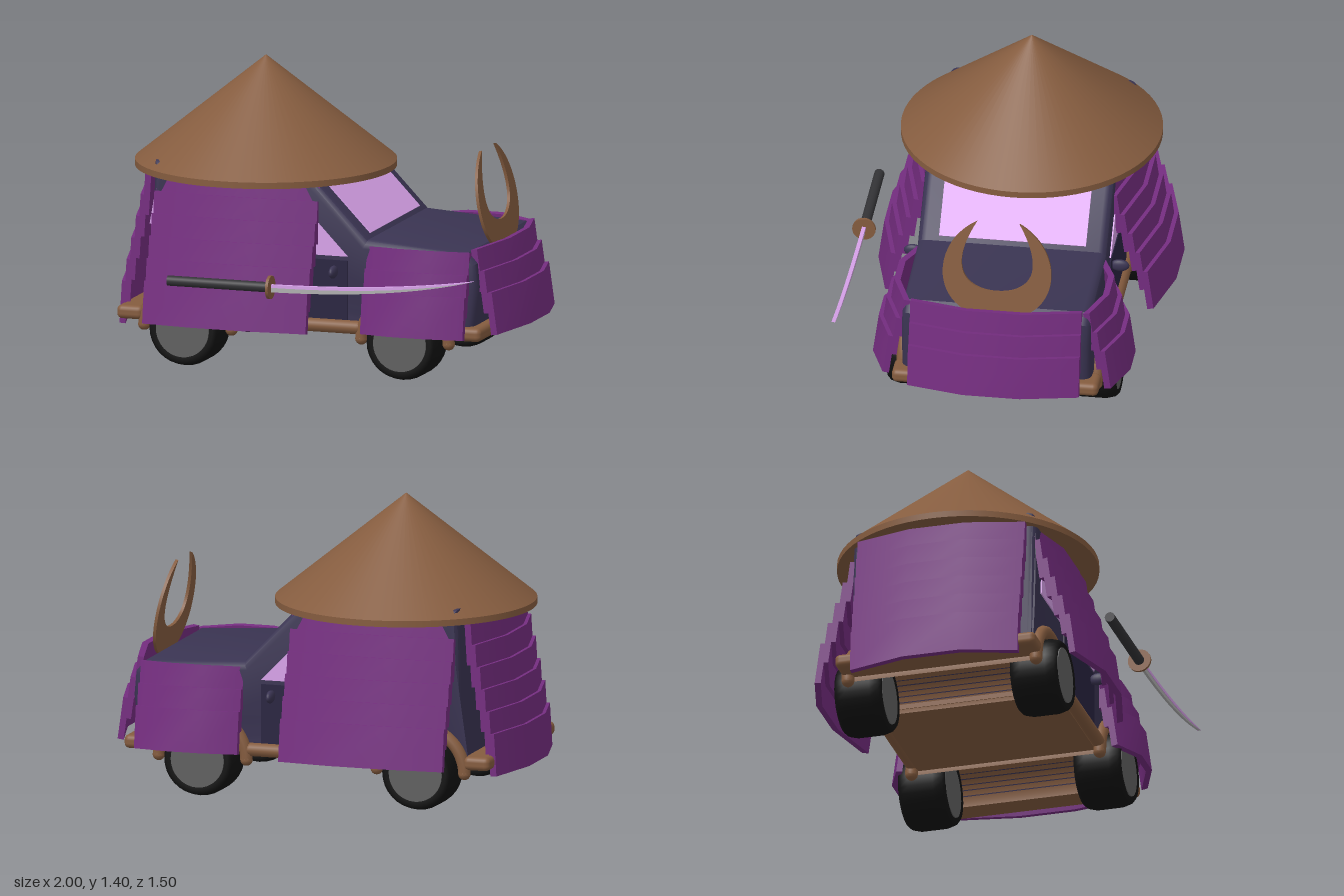
import * as THREE from 'three';
import { toCreasedNormals } from 'three/addons/utils/BufferGeometryUtils.js';
import { RoundedBoxGeometry } from 'three/addons/geometries/RoundedBoxGeometry.js';

const mat = (color, side = THREE.FrontSide) => new THREE.MeshStandardMaterial({ color, side });
const BROWN = mat(0x855c3f), BROWN_OPEN = mat(0x855c3f, THREE.DoubleSide), NAVY = mat(0x3a3452);
const DOOR = mat(0x292440), PURPLE = mat(0x752d80), GLASS = mat(0xd8a2ea), TYRE = mat(0x121212);
const RIM = mat(0x606060), GRIP = mat(0x333336), STEEL = mat(0xb0b0b0);

const AXLES = [-0.575, 0.495];
const HALF = 0.445; // half width of the body

function add(parent, name, geometry, material, x = 0, y = 0, z = 0) {
  const mesh = new THREE.Mesh(geometry, material);
  mesh.name = name;
  mesh.position.set(x, y, z);
  parent.add(mesh);
  return mesh;
}

const polygon = (pts) => new THREE.Shape(pts.map(([x, y]) => new THREE.Vector2(x, y)));

// Extrusion centred on z = 0
function slab(shape, depth, bevel = 0, curveSegments = 16) {
  const g = new THREE.ExtrudeGeometry(shape, {
    depth: depth - 2 * bevel, curveSegments, bevelEnabled: bevel > 0, bevelSize: bevel,
    bevelThickness: bevel, bevelOffset: -bevel, bevelSegments: 3,
  });
  g.translate(0, 0, -depth / 2 + bevel);
  return toCreasedNormals(g, 0.6);
}

// Overlapping rows of bowed plates; local +z points away from the body
function skirt(parent, name, { width, rows, bottom, step, out, inset, tilt, angle, x = 0 }) {
  const group = new THREE.Group();
  group.name = name;
  const plate = new THREE.BoxGeometry(width, 0.2, 0.03, 3, 1, 1);
  const p = plate.attributes.position;
  for (let i = 0; i < p.count; i++) {
    if (Math.abs(p.getX(i)) < width / 4) p.setZ(i, p.getZ(i) + 0.07);
  }
  plate.translate(0, 0.1, -0.085);
  plate.computeVertexNormals();
  for (let i = 0; i < rows; i++) {
    const row = add(group, `${name}Row${i + 1}`, plate, PURPLE, 0, bottom + i * step, out - i * inset);
    row.rotation.x = -tilt;
  }
  group.rotation.y = angle;
  group.position.x = x;
  parent.add(group);
}

function buildBody(car) {
  // Side profile with wheel arches cut out
  const s = new THREE.Shape();
  s.moveTo(-0.88, 0.22);
  for (const x of AXLES) s.absarc(x, 0.18, 0.2, Math.PI - 0.2, 0.2, true);
  for (const [x, y] of [[0.82, 0.22], [0.845, 0.45], [0.835, 0.56], [0.79, 0.61], [0.3, 0.64],
    [0, 0.95], [-0.75, 0.95]]) s.lineTo(x, y);
  add(car, 'body', slab(s, HALF * 2, 0.04), NAVY);

  // Glass
  const shield = add(car, 'windshield', new THREE.BoxGeometry(0.37, 0.012, 0.69), GLASS, 0.155, 0.79, 0);
  shield.rotation.z = -Math.atan2(0.31, 0.3);
  const rear = add(car, 'rearWindow', new THREE.BoxGeometry(0.012, 0.26, 0.6), GLASS, -0.79, 0.75, 0);
  rear.rotation.z = -Math.atan2(0.13, 0.73);
  const pane = slab(polygon([[-0.68, 0.56], [0.21, 0.56], [-0.08, 0.86], [-0.66, 0.86]]), 0.012);
  const panel = slab(polygon([[-0.3, 0.26], [0.21, 0.26], [0.21, 0.54], [-0.3, 0.54]]), 0.012);
  for (const s of [1, -1]) {
    add(car, 'sideWindow', pane, GLASS, 0, 0, s * HALF);
    add(car, 'doorPanel', panel, DOOR, 0, 0, s * HALF);
    const mirror = add(car, 'sideMirror', new THREE.SphereGeometry(1, 16, 12), NAVY, 0.152, 0.49, s * 0.485);
    mirror.scale.set(0.018, 0.03, 0.045);
  }
}

function buildChassis(car) {
  add(car, 'floor', new THREE.BoxGeometry(0.68, 0.05, 0.86), BROWN, -0.04, 0.225, 0);
  add(car, 'rearFloor', new THREE.BoxGeometry(0.1, 0.05, 0.86), BROWN, -0.83, 0.225, 0);
  add(car, 'frontFloor', new THREE.BoxGeometry(0.12, 0.05, 0.86), BROWN, 0.76, 0.225, 0);
  const bumper = new RoundedBoxGeometry(0.13, 0.065, 0.97, 3, 0.025);
  add(car, 'frontBumper', bumper, BROWN, 0.81, 0.232, 0);
  add(car, 'rearBumper', bumper, BROWN, -0.855, 0.232, 0);

  const sill = new THREE.CapsuleGeometry(0.032, 0.6, 6, 12).rotateZ(Math.PI / 2);
  const fender = new THREE.TorusGeometry(0.215, 0.03, 10, 28, Math.PI);
  const well = new THREE.CylinderGeometry(0.2, 0.2, 0.87, 24, 1, true, -Math.PI / 2, Math.PI)
    .rotateX(-Math.PI / 2);
  for (const x of AXLES) add(car, 'wheelWell', well, BROWN_OPEN, x, 0.18, 0);
  for (const s of [1, -1]) {
    add(car, 'sideSill', sill, BROWN, -0.04, 0.228, s * 0.45);
    for (const x of AXLES) {
      add(car, 'fender', fender, BROWN, x, 0.175, s * 0.455);
      for (const e of [-0.215, 0.215]) {
        add(car, 'fenderEnd', new THREE.SphereGeometry(0.03, 12, 8), BROWN, x + e, 0.18, s * 0.455);
      }
    }
  }
}

function buildWheels(car) {
  // Tyre with rounded shoulders, spun about z
  const tyre = new THREE.LatheGeometry([[0, -0.105], [0.13, -0.105], [0.15, -0.115], [0.165, -0.1],
    [0.176, -0.06], [0.176, 0.06], [0.165, 0.1], [0.15, 0.115], [0.13, 0.105], [0, 0.105]]
    .map(([r, y]) => new THREE.Vector2(r, y)), 32).rotateX(Math.PI / 2);
  const hub = new THREE.CylinderGeometry(0.13, 0.13, 0.222, 32).rotateX(Math.PI / 2);
  for (const x of AXLES) for (const z of [0.425, -0.425]) {
    add(car, 'tyre', tyre, TYRE, x, 0.178, z);
    add(car, 'hub', hub, RIM, x, 0.178, z);
  }
}

function buildArmour(car) {
  const side = { bottom: 0.225, step: 0.1, inset: 0.036, tilt: 0.14 };
  for (const s of [1, -1]) {
    const angle = s > 0 ? 0 : Math.PI;
    skirt(car, 'cabinSkirt', { ...side, width: 0.805, rows: 6, out: 0.7, angle, x: -0.337 });
    skirt(car, 'hoodSkirt', { ...side, width: 0.505, rows: 3, out: 0.605, angle, x: 0.553 });
  }
  skirt(car, 'frontSkirt', { ...side, bottom: 0.238, width: 0.805, rows: 3, out: 1, angle: Math.PI / 2 });
  skirt(car, 'rearSkirt', { width: 0.81, rows: 6, bottom: 0.17, step: 0.104, out: 1, inset: 0.023,
    tilt: 0.06, angle: -Math.PI / 2 });
}

function buildHatAndCrest(car) {
  // Wide conical hat with a short upright rim
  const y = 0.88;
  add(car, 'hatCone', new THREE.ConeGeometry(0.61, 0.49, 64, 1, true), BROWN, -0.35, y + 0.275, 0);
  add(car, 'hatRim', new THREE.CylinderGeometry(0.61, 0.61, 0.03, 64), BROWN, -0.35, y + 0.015, 0);

  // Crescent crest leaning back over the hood
  const c = new THREE.Shape();
  c.moveTo(0.1, 1.04);
  c.bezierCurveTo(0.14, 0.97, 0.167, 0.9, 0.167, 0.84);
  c.bezierCurveTo(0.167, 0.75, 0.1, 0.7, 0, 0.7);
  c.bezierCurveTo(-0.1, 0.7, -0.167, 0.75, -0.167, 0.84);
  c.bezierCurveTo(-0.167, 0.9, -0.14, 0.97, -0.1, 1.04);
  c.bezierCurveTo(-0.19, 0.99, -0.255, 0.9, -0.255, 0.79);
  c.bezierCurveTo(-0.255, 0.64, -0.13, 0.56, 0, 0.56);
  c.bezierCurveTo(0.13, 0.56, 0.255, 0.64, 0.255, 0.79);
  c.bezierCurveTo(0.255, 0.9, 0.19, 0.99, 0.1, 1.04);
  const geo = slab(c, 0.014).translate(0, -0.56, 0).rotateY(Math.PI / 2);
  add(car, 'crest', geo, BROWN, 0.832, 0.56, 0).rotation.z = 0.19;
}

function buildSword(root) {
  const sword = new THREE.Group();
  sword.name = 'sword';
  sword.position.z = 0.695;
  root.add(sword);
  const rod = (r, l) => new THREE.CylinderGeometry(r, r, l, 24).rotateZ(Math.PI / 2);
  add(sword, 'grip', rod(0.024, 0.5), GRIP, -0.32, 0.452, 0);
  add(sword, 'guard', rod(0.055, 0.014), BROWN, -0.067, 0.452, 0);
  // Curved blade: violet spine above a steel cutting edge
  const strip = (y0, c0, y1, c1) => {
    const s = new THREE.Shape();
    s.moveTo(-0.06, y0);
    s.quadraticCurveTo(0.55, c0, 0.94, 0.545);
    s.quadraticCurveTo(0.5, c1, -0.06, y1);
    return s;
  };
  add(sword, 'bladeSpine', slab(strip(0.452, 0.452, 0.466, 0.47), 0.018), GLASS);
  add(sword, 'bladeEdge', slab(strip(0.43, 0.435, 0.458, 0.46), 0.012), STEEL);
}

export function createModel() {
  const root = new THREE.Group();
  root.name = 'armouredCar';
  const car = new THREE.Group();
  car.name = 'car';
  car.position.z = -0.053;
  root.add(car);
  buildBody(car);
  buildChassis(car);
  buildWheels(car);
  buildArmour(car);
  buildHatAndCrest(car);
  buildSword(root);
  return root;
}
